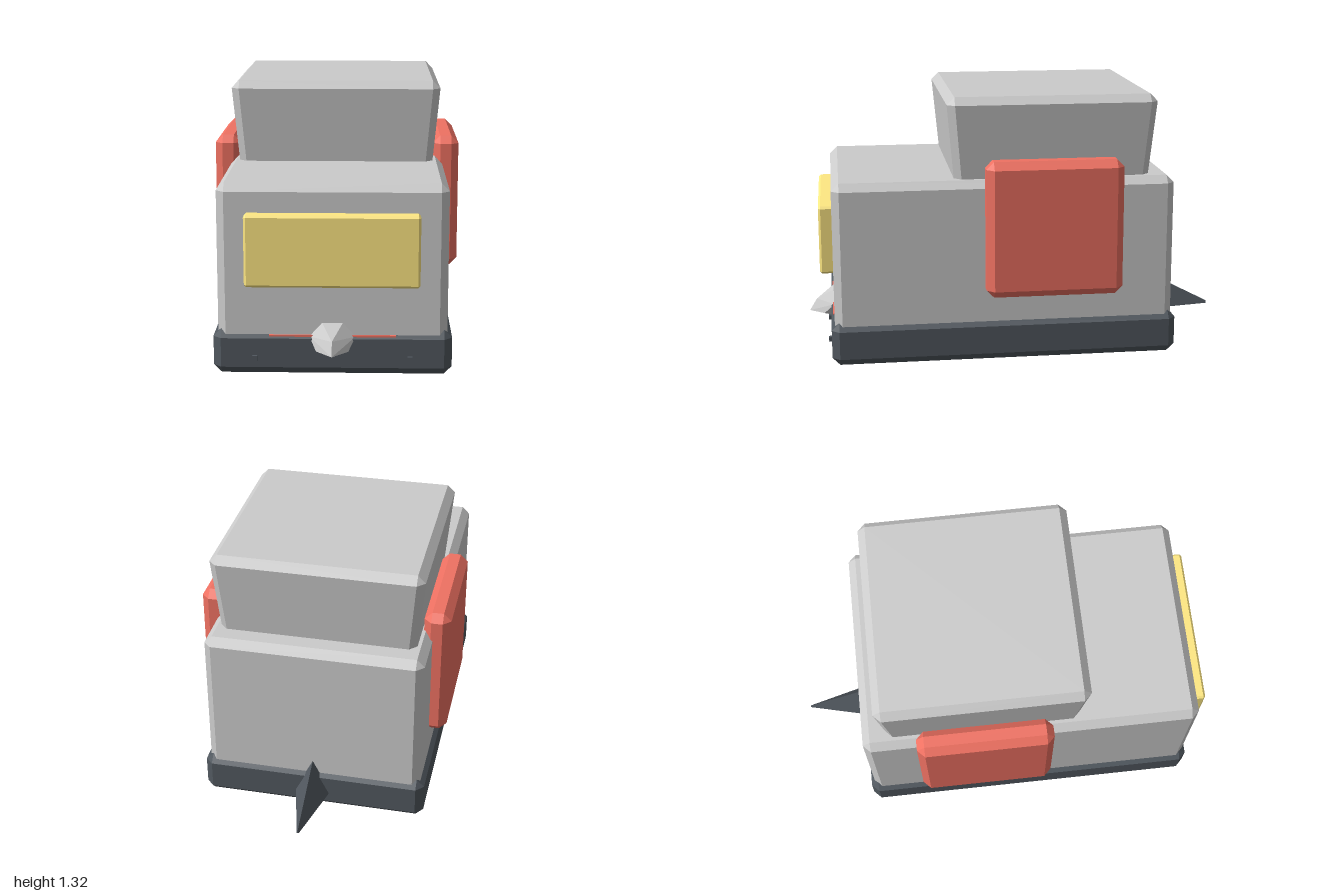
import * as THREE from 'three';
import { ConvexGeometry } from 'three/addons/geometries/ConvexGeometry.js';

const material = (color) => new THREE.MeshStandardMaterial({ color, flatShading: true });

// Hull of a handful of corner points
const hull = (points) => new ConvexGeometry(points.map((p) => new THREE.Vector3(...p)));

// Box between two corners with bevelled edges; "taper" scales the bottom in x and z
function bevelBox(min, max, bevel, taper = 1) {
  const centre = min.map((v, i) => (v + max[i]) / 2);
  const half = min.map((v, i) => (max[i] - v) / 2);
  const points = [];
  for (const sx of [-1, 1]) for (const sy of [-1, 1]) for (const sz of [-1, 1]) {
    const signs = [sx, sy, sz];
    const scale = [sy < 0 ? taper : 1, 1, sy < 0 ? taper : 1];
    for (let face = 0; face < 3; face++) {
      points.push(signs.map((s, i) =>
        centre[i] + s * (half[i] - (i === face ? 0 : bevel)) * scale[i]));
    }
  }
  return hull(points);
}

export function createModel() {
  const model = new THREE.Group();
  model.name = 'vehicle';
  const grey = material(0xcccccc);
  const dark = material(0x51585f);
  const red = material(0xef7162);
  const yellow = material(0xffe883);

  const add = (name, geometry, mat) => {
    const mesh = new THREE.Mesh(geometry, mat);
    mesh.name = name;
    model.add(mesh);
    return mesh;
  };

  // Main volumes
  add('body', bevelBox([-0.5, 0.18, -0.69], [0.5, 0.945, 0.88], 0.035), grey);
  add('skirt', bevelBox([-0.52, 0.1, -0.707], [0.52, 0.3, 0.895], 0.035), dark);
  add('cab', bevelBox([-0.48, 0.88, -0.61], [0.48, 1.32, 0.355], 0.035, 0.93), grey);

  // Side panels
  for (const [name, x] of [['leftPanel', 0.517], ['rightPanel', -0.517]]) {
    add(name, bevelBox([x - 0.061, 0.41, -0.44], [x + 0.061, 1.04, 0.19], 0.035), red);
  }

  // Front window and the thin stripe under it
  add('frontWindow', bevelBox([-0.377, 0.505, 0.84], [0.377, 0.82, 0.94], 0.01), yellow);
  const stripe = add('frontStripe', new THREE.BoxGeometry(0.55, 0.06, 0.03), red);
  stripe.position.set(0, 0.25, 0.873);

  // Faceted nose, mirrored about x = 0
  const nose = [[0, 0.275, 0.965], [0, 0.217, 1]];
  for (const s of [-1, 1]) {
    nose.push([s * 0.05, 0.34, 0.87], [s * 0.1, 0.272, 0.88],
      [s * 0.07, 0.22, 0.93], [s * 0.05, 0.203, 0.88]);
  }
  add('nose', hull(nose), grey);

  // Small studs along the front of the skirt
  for (const x of [-0.337, 0, 0.337]) {
    const stud = add('stud', new THREE.BoxGeometry(0.022, 0.022, 0.03), dark);
    stud.position.set(x, 0.178, 0.894);
  }

  // Pointed tail
  add('tail', hull([
    [-0.083, 0.18, -0.69], [0.083, 0.18, -0.69], [0, 0.35, -0.68], [0, 0.17, -0.69],
    [-0.005, 0.172, -1], [0.005, 0.172, -1], [0, 0.184, -1],
  ]), dark);

  // Round foot underneath
  const profile = [[0, 0], [0.185, 0], [0.205, 0.02], [0.262, 0.1], [0.262, 0.12], [0, 0.12]];
  const foot = add('foot',
    new THREE.LatheGeometry(profile.map(([r, y]) => new THREE.Vector2(r, y)), 12), dark);
  foot.position.z = -0.25;

  return model;
}
